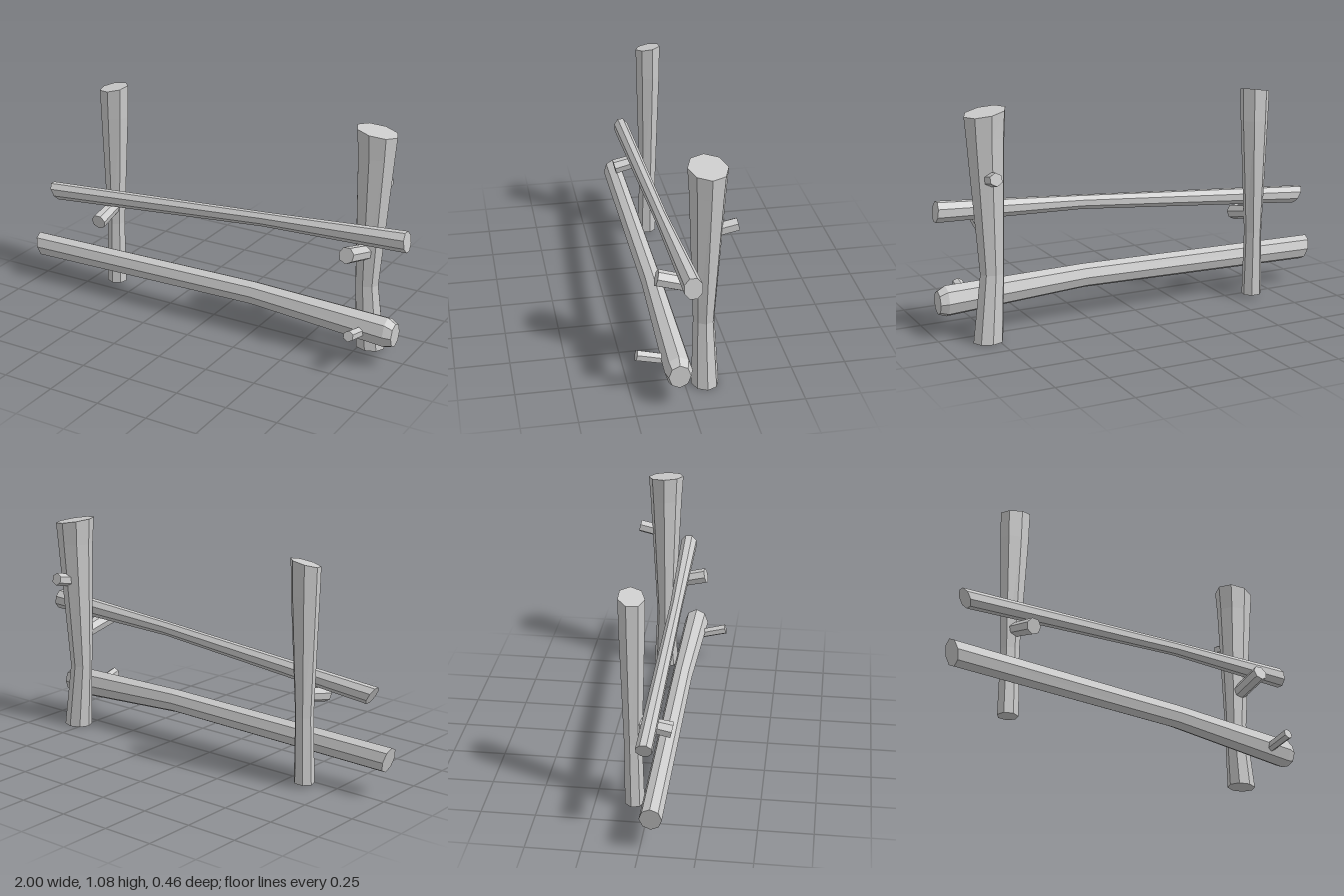
import * as THREE from 'three';

const material = new THREE.MeshStandardMaterial({ color: 0xcccccc, flatShading: true });

// Log lofted through faceted rings. Each ring: [x, y, z, halfU, halfV, slopeU, slopeV];
// upright logs have u = z, v = x; lying logs have u = y, v = z. Slopes tilt the cut.
function log(name, upright, sides, phase, rings) {
  const pos = [], index = [];
  for (const [x, y, z, hu, hv, su = 0, sv = 0] of rings) {
    for (let i = 0; i < sides; i++) {
      const a = phase + (i / sides) * Math.PI * 2;
      const u = Math.cos(a) * hu, v = Math.sin(a) * hv, w = u * su + v * sv;
      if (upright) pos.push(x + v, y + w, z + u);
      else pos.push(x + w, y + u, z + v);
    }
  }
  for (let r = 0; r < rings.length - 1; r++) {
    for (let i = 0; i < sides; i++) {
      const j = (i + 1) % sides, a = r * sides + i, b = r * sides + j;
      index.push(a, b, b + sides, a, b + sides, a + sides);
    }
  }
  // end caps
  const last = (rings.length - 1) * sides;
  for (let i = 1; i < sides - 1; i++) {
    index.push(0, i + 1, i, last, last + i, last + i + 1);
  }
  const geo = new THREE.BufferGeometry();
  geo.setAttribute('position', new THREE.Float32BufferAttribute(pos, 3));
  geo.setIndex(index);
  const flat = geo.toNonIndexed();
  flat.computeVertexNormals();
  const mesh = new THREE.Mesh(flat, material);
  mesh.name = name;
  return mesh;
}

// Short branch stub between two points
function stub(name, from, to, r0, r1, sides = 7) {
  const a = new THREE.Vector3(...from), b = new THREE.Vector3(...to);
  const dir = b.clone().sub(a);
  const mesh = new THREE.Mesh(new THREE.CylinderGeometry(r1, r0, dir.length(), sides), material);
  mesh.position.copy(a).add(b).multiplyScalar(0.5);
  mesh.quaternion.setFromUnitVectors(new THREE.Vector3(0, 1, 0), dir.normalize());
  mesh.name = name;
  return mesh;
}

export function createModel() {
  const group = new THREE.Group();
  group.name = 'logFence';
  const eighth = Math.PI / 8;

  group.add(
    // posts, narrowest at the knee and flaring to a rough cut top
    log('rightPost', true, 7, 0, [
      [-0.612, 0.02, -0.068, 0.046, 0.05],
      [-0.61, 0.34, -0.073, 0.042, 0.044],
      [-0.605, 0.9, -0.075, 0.058, 0.07],
      [-0.605, 1.045, -0.075, 0.06, 0.074, -0.15, 0.17],
    ]),
    log('leftPost', true, 8, 0, [
      [0.793, 0.002, -0.092, 0.062, 0.072],
      [0.765, 0.32, -0.088, 0.048, 0.058],
      [0.783, 0.95, -0.092, 0.08, 0.09],
      [0.783, 1.062, -0.092, 0.088, 0.098, 0.05, -0.16],
    ]),
    // rails
    log('lowerRail', false, 8, 0, [
      [-0.985, 0.18, 0.052, 0.061, 0.05, -0.25, 0],
      [0.25, 0.2, 0.05, 0.059, 0.05],
      [0.94, 0.172, 0.055, 0.074, 0.062],
      [0.978, 0.168, 0.056, 0.056, 0.049],
    ]),
    log('upperRail', false, 8, eighth, [
      [-0.912, 0.475, 0.016, 0.042, 0.038, -0.55, 0],
      [0.28, 0.572, 0.016, 0.035, 0.031],
      [0.992, 0.61, 0.005, 0.05, 0.043, -0.12, 0],
    ]),
    // stubs that carry the upper rail
    stub('rightSupportStub', [-0.605, 0.44, -0.075], [-0.6, 0.4, 0.1], 0.033, 0.038),
    stub('leftSupportStub', [0.768, 0.482, -0.08], [0.752, 0.535, 0.12], 0.037, 0.039),
    // small broken branches
    stub('backStub', [0.783, 0.755, -0.09], [0.787, 0.785, -0.225], 0.032, 0.031, 6),
    stub('railStub', [0.822, 0.155, 0.06], [0.823, 0.196, 0.222], 0.024, 0.026, 6),
  );
  return group;
}
